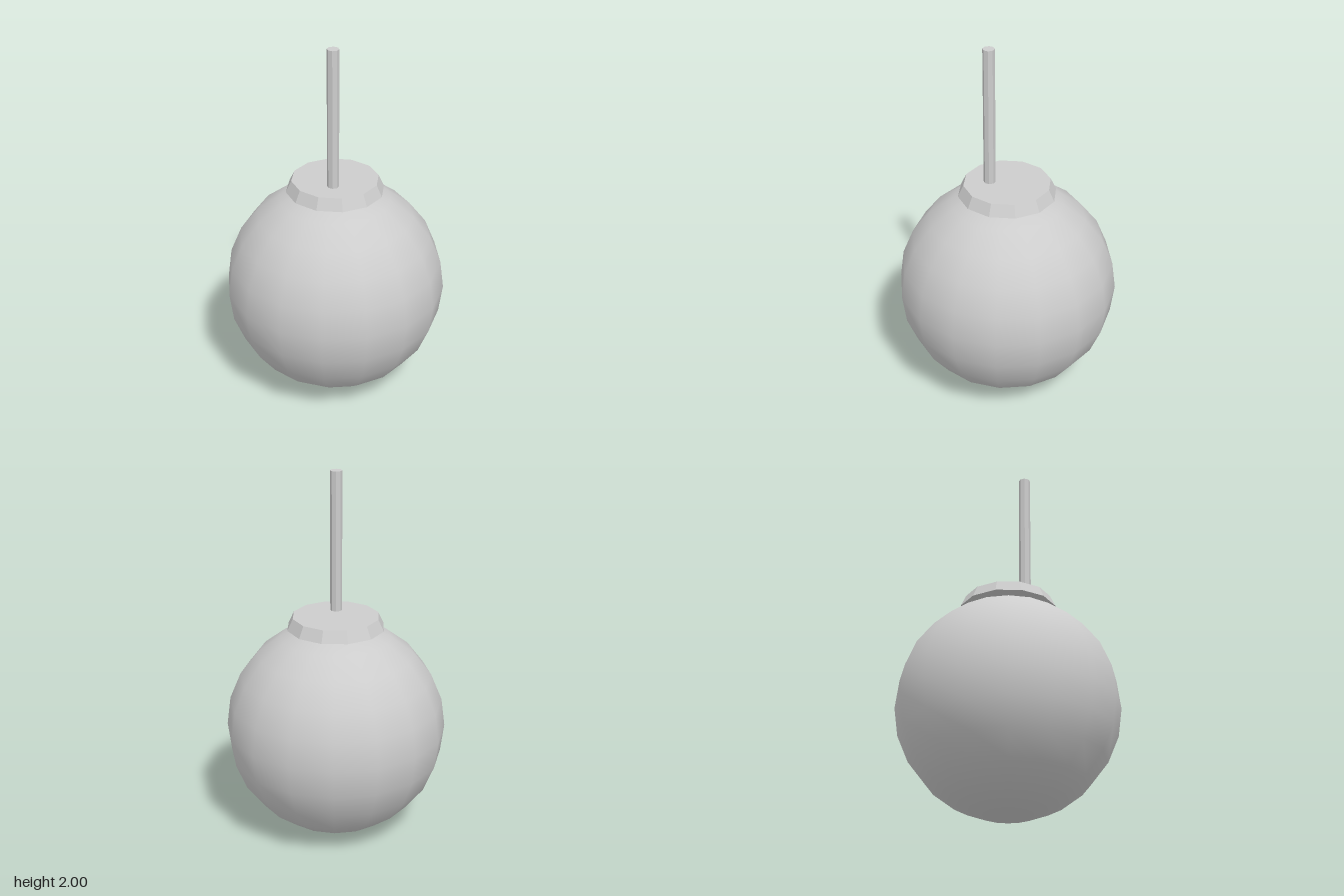
import * as THREE from 'three';

export function createModel() {
  const group = new THREE.Group();
  const grey = new THREE.MeshStandardMaterial({ color: 0xcccccc });
  grey.name = 'light grey';

  const add = (name, geometry, x, y, z) => {
    const mesh = new THREE.Mesh(geometry, grey);
    mesh.name = name;
    mesh.position.set(x, y, z);
    group.add(mesh);
  };

  // A straight or tapered faceted drum with hard edges
  const drum = (top, bottom, height, sides) => {
    const g = new THREE.CylinderGeometry(top, bottom, height, sides).toNonIndexed();
    g.computeVertexNormals();
    return g;
  };

  // Smooth-shaded ball resting on the ground
  const r = 0.598;
  add('ball', new THREE.SphereGeometry(r, 16, 12), 0, r, 0);

  // Tapered collar on top of the ball
  add('collar', drum(0.235, 0.265, 0.064, 12), 0, 1.202, 0);

  // Off-centre upright rod, sunk slightly into the collar
  const foot = 1.2;
  add('rod', drum(0.032, 0.032, 2 - foot, 8), 0.066, (2 + foot) / 2, 0.066);

  return group;
}
